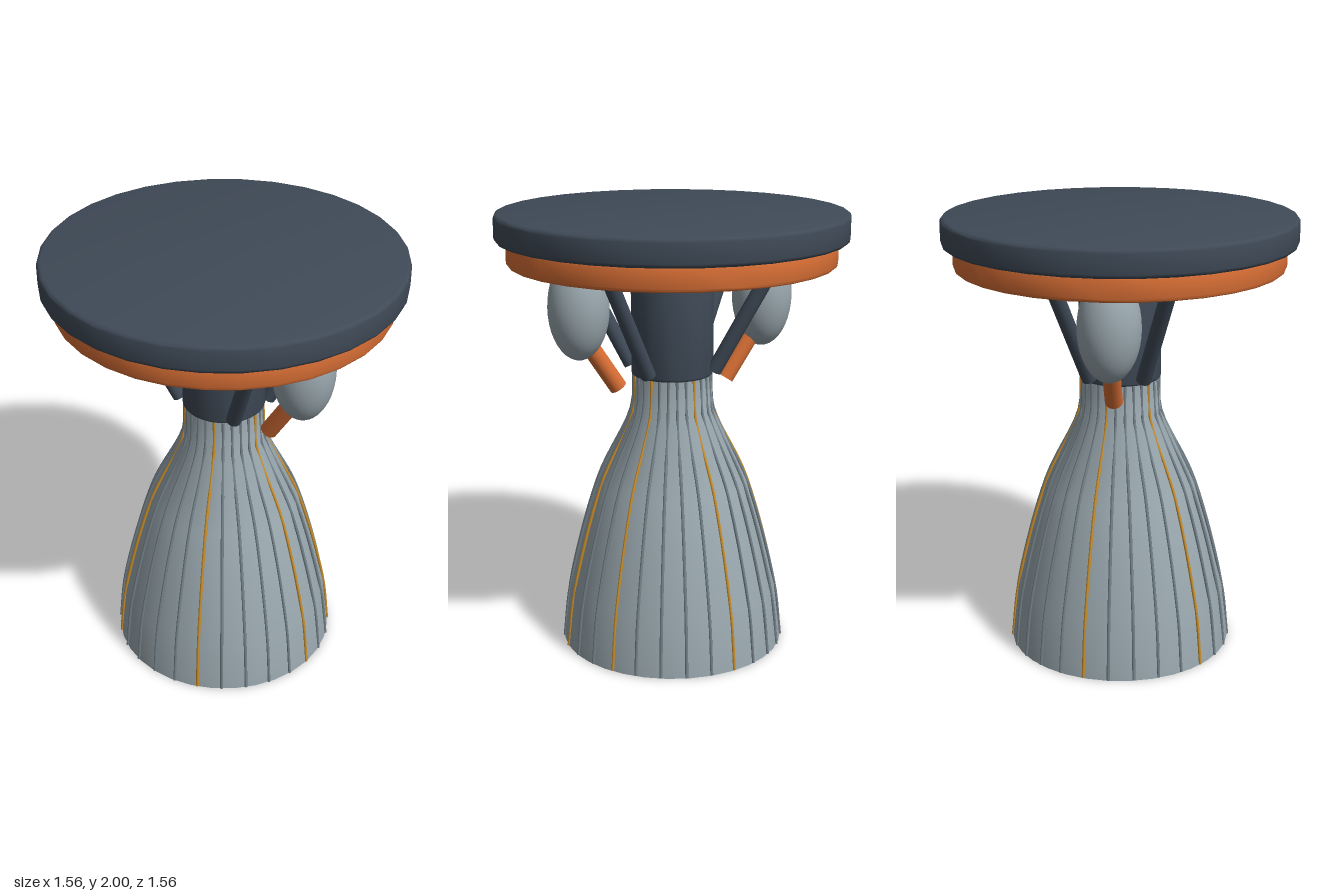
import * as THREE from 'three';
import { toCreasedNormals } from 'three/addons/utils/BufferGeometryUtils.js';

const material = (name, color) => {
  const m = new THREE.MeshStandardMaterial({ color });
  m.name = name;
  return m;
};

export function createModel() {
  const dark = material('dark slate', 0x3f4a57);
  const grey = material('light steel', 0x9aa8af);
  const orange = material('orange', 0xd96f35);
  const ribGrey = material('rib grey', 0x74828a);
  const gold = material('gold', 0xc98f2c);

  const model = new THREE.Group();
  model.name = 'rocketEngine';

  const add = (name, geometry, mat, parent = model) => {
    const mesh = new THREE.Mesh(geometry, mat);
    mesh.name = name;
    parent.add(mesh);
    return mesh;
  };
  const lathe = (points, segments = 32) => toCreasedNormals(
    new THREE.LatheGeometry(points.map(([r, y]) => new THREE.Vector2(r, y)), segments), 0.7);

  // Disc with softly rounded rims
  const disc = (r, y0, y1, b) => {
    const points = [[0, y0]];
    for (let i = 0; i <= 3; i++) {
      const a = (i / 3) * Math.PI / 2;
      points.push([r - b + b * Math.sin(a), y0 + b - b * Math.cos(a)]);
    }
    for (let i = 0; i <= 3; i++) {
      const a = (i / 3) * Math.PI / 2;
      points.push([r - b + b * Math.cos(a), y1 - b + b * Math.sin(a)]);
    }
    points.push([0, y1]);
    return lathe(points);
  };

  // Rod between two points
  const rod = (name, from, to, radius, mat, parent) => {
    const a = new THREE.Vector3(...from), b = new THREE.Vector3(...to);
    const mesh = add(name, new THREE.CylinderGeometry(radius, radius, a.distanceTo(b), 16), mat, parent);
    mesh.position.addVectors(a, b).multiplyScalar(0.5);
    mesh.quaternion.setFromUnitVectors(new THREE.Vector3(0, 1, 0), b.sub(a).normalize());
  };

  // Mounting plates and combustion chamber
  add('topPlate', disc(0.78, 1.88, 2, 0.018), dark);
  add('lowerPlate', disc(0.73, 1.775, 1.885, 0.015), orange);
  add('chamber', disc(0.185, 1.268, 1.79, 0.012), dark);

  // Hollow bell: outer wall, inner wall and sloping lip
  const wall = [[0.513, 0], [0.508, 0.05], [0.482, 0.26], [0.344, 0.77], [0.187, 1.11], [0.176, 1.27]];
  add('bellOuter', lathe([...wall, [0, 1.27]]), grey);
  add('bellInner', lathe([[0, 1.2], [0.12, 1.15], [0.26, 0.77], [0.375, 0.26], [0.4, 0.035]]), grey);
  add('bellLip', lathe([[0.4, 0.035], [0.44, 0.01], [0.47, 0.002], [0.513, 0]]), grey);

  // Cooling ribs, every fifth one gold
  const ribs = new THREE.Group();
  ribs.name = 'coolingRibs';
  model.add(ribs);
  const ribCurve = new THREE.CatmullRomCurve3(
    wall.map(([r, y]) => new THREE.Vector3(r, Math.max(y, 0.003), 0)));
  const ribGeometry = new THREE.TubeGeometry(ribCurve, 24, 0.007, 6);
  for (let i = 0; i < 28; i++) {
    const isGold = i % 5 === 0;
    const rib = add(isGold ? 'goldRib' : 'rib', ribGeometry, isGold ? gold : ribGrey, ribs);
    rib.rotation.y = -i * Math.PI * 2 / 28;
  }

  for (const sx of [1, -1]) {
    // Side tank with its feed pipe
    const tank = add('sideTank', new THREE.SphereGeometry(1, 32, 20), grey);
    tank.scale.set(0.136, 0.236, 0.136);
    tank.position.set(sx * 0.434, 1.601, 0);
    rod('feedPipe', [sx * 0.257, 1.225, 0], [sx * 0.4, 1.445, 0], 0.04, orange);

    // Braces from chamber to plate
    for (const sz of [1, -1]) {
      rod('brace', [sx * 0.155, 1.295, sz * 0.12], [sx * 0.39, 1.8, sz * 0.258], 0.034, dark);
    }
  }

  return model;
}
